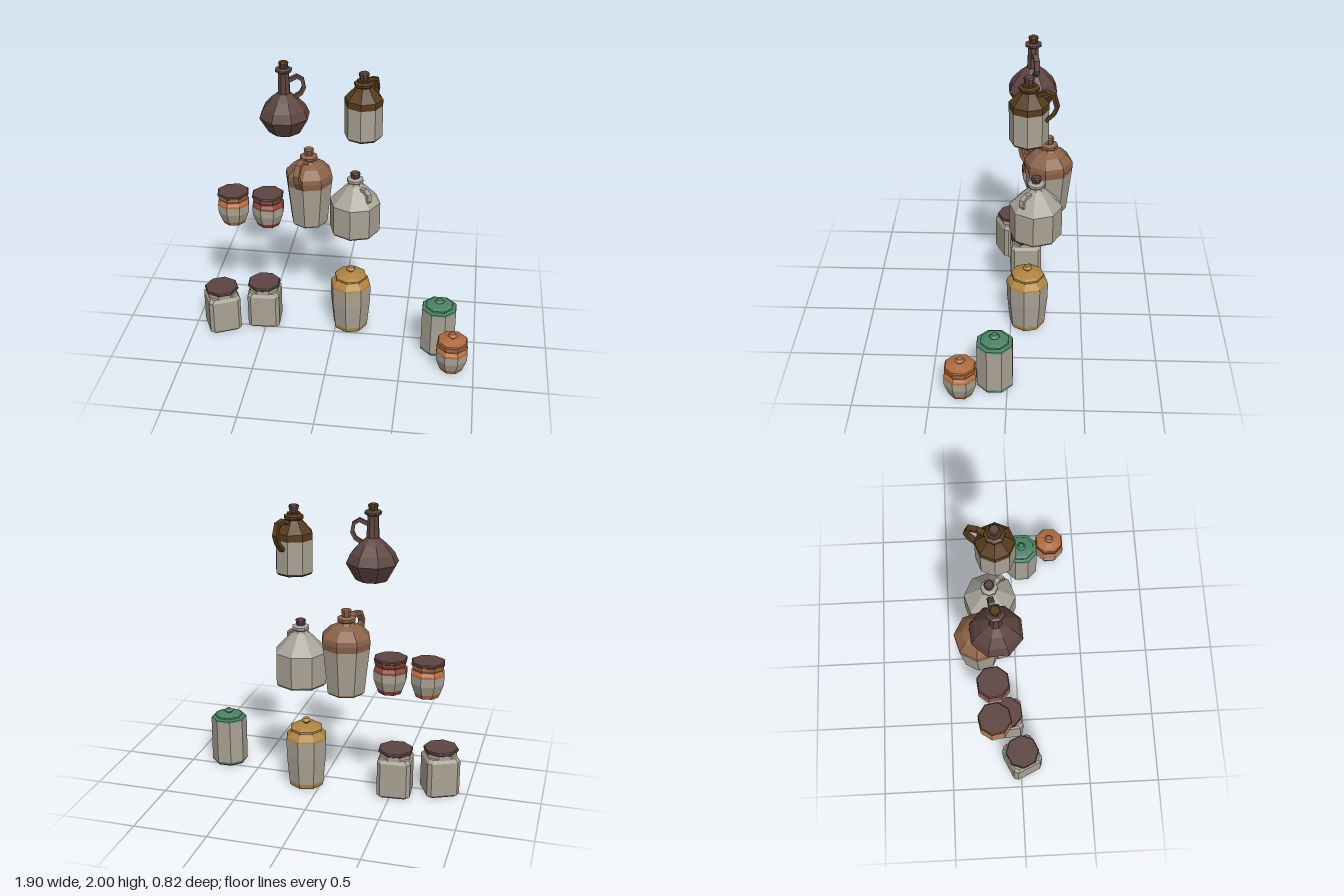
import * as THREE from 'three';

const mat = (name, color) => {
  const m = new THREE.MeshStandardMaterial({ color, flatShading: true });
  m.name = name;
  return m;
};

const stone = mat('stoneware', 0xaaa294);
const pale = mat('paleGlaze', 0xa8a59a);
const plum = mat('plumBrown', 0x5c4440);
const amber = mat('darkAmber', 0x573c1c);
const brown = mat('warmBrown', 0x8a6249);
const terracotta = mat('terracotta', 0xae6c40);
const red = mat('brickRed', 0x86443a);
const ochre = mat('ochre', 0xae8442);
const green = mat('green', 0x4c8266);

const deg = Math.PI / 180;

// Eight-sided turned vessel: each band is [name, material, [radius, y] points from bottom to top]
function vessel(name, x, y, z, turn, bands) {
  const g = new THREE.Group();
  g.name = name;
  g.position.set(x, y, z);
  for (const [part, material, pts] of bands) {
    const geo = new THREE.LatheGeometry(
      pts.map(p => new THREE.Vector2(p[0], p[1])), 8, Math.PI / 8 + turn * deg);
    const mesh = new THREE.Mesh(geo, material);
    mesh.name = part;
    g.add(mesh);
  }
  return g;
}

// Strap handle: a bent strip in the radius/height plane, turned to face (dx, dz)
function handle(group, material, path, dx, dz, thick = 0.024, width = 0.036) {
  const outer = [], inner = [];
  path.forEach((p, i) => {
    const a = path[Math.max(i - 1, 0)], b = path[Math.min(i + 1, path.length - 1)];
    const tx = b[0] - a[0], ty = b[1] - a[1], l = Math.hypot(tx, ty);
    const nx = -ty / l * thick / 2, ny = tx / l * thick / 2;
    outer.push(new THREE.Vector2(p[0] + nx, p[1] + ny));
    inner.unshift(new THREE.Vector2(p[0] - nx, p[1] - ny));
  });
  const geo = new THREE.ExtrudeGeometry(new THREE.Shape([...outer, ...inner]),
    { depth: width, bevelEnabled: false });
  geo.translate(0, 0, -width / 2);
  const mesh = new THREE.Mesh(geo, material);
  mesh.name = 'handle';
  mesh.rotation.y = Math.atan2(-dz, dx);
  group.add(mesh);
}

// Tapered cork, wider at the top
const cork = (material, y0, y1, r) =>
  ['cork', material, [[r * 0.75, y0], [r, y1 - 0.008], [r * 0.8, y1], [0, y1]]];

// Knob for lids
const knob = (y, h) => [[0.017, y], [0.017, y + h * 0.25], [0.034, y + h * 0.6], [0.019, y + h], [0, y + h]];

// Small bulging jar body with a coloured foot and collar
const smallJar = glaze => [
  ['foot', glaze, [[0, 0], [0.078, 0], [0.086, 0.02], [0.09, 0.03]]],
  ['body', stone, [[0.09, 0.03], [0.113, 0.095], [0.115, 0.15]]],
  ['collar', glaze, [[0.115, 0.15], [0.113, 0.165], [0.096, 0.185], [0.108, 0.205], [0.108, 0.225], [0.09, 0.228]]],
];

// Square jar with chamfered corners and an eight-sided lid
function squareJar(name, x, z, turn) {
  const g = vessel(name, x, 0, z, 0, [
    ['neck', stone, [[0.11, 0.27], [0.11, 0.31]]],
    ['lid', plum, [[0, 0.305], [0.112, 0.305], [0.12, 0.311], [0.12, 0.325], [0.114, 0.331], [0, 0.331]]],
  ]);
  const rings = [[0.1, 0], [0.113, 0.014], [0.113, 0.255], [0.098, 0.28]];
  const pos = [], idx = [];
  for (const [a, y] of rings) {
    const c = a - 0.024;
    for (const [px, pz] of [[c, a], [a, c], [a, -c], [c, -a], [-c, -a], [-a, -c], [-a, c], [-c, a]])
      pos.push(px, y, pz);
  }
  for (let r = 0; r < rings.length - 1; r++)
    for (let i = 0; i < 8; i++) {
      const a = r * 8 + i, b = r * 8 + (i + 1) % 8;
      idx.push(a, b, b + 8, a, b + 8, a + 8);
    }
  const top = (rings.length - 1) * 8;
  for (let i = 1; i < 7; i++) idx.push(0, i + 1, i, top, top + i, top + i + 1);
  const geo = new THREE.BufferGeometry();
  geo.setAttribute('position', new THREE.Float32BufferAttribute(pos, 3));
  geo.setIndex(idx);
  geo.computeVertexNormals();
  const body = new THREE.Mesh(geo, stone);
  body.name = 'body';
  g.add(body);
  g.rotation.y = turn * deg;
  return g;
}

export function createModel() {
  const model = new THREE.Group();
  model.name = 'stonewareCollection';

  // Top row: long-necked flask
  const flask = vessel('longNeckFlask', -0.347, 1.51, -0.133, 3, [
    ['body', plum, [[0, 0], [0.1, 0], [0.112, 0.01], [0.172, 0.115], [0.145, 0.175], [0.09, 0.235],
      [0.042, 0.275], [0.036, 0.415], [0.055, 0.425], [0.057, 0.44], [0.04, 0.45], [0, 0.45]]],
    cork(amber, 0.44, 0.49, 0.034),
  ]);
  handle(flask, plum, [[0.03, 0.36], [0.085, 0.387], [0.12, 0.365], [0.13, 0.31], [0.11, 0.27], [0.07, 0.245]], 0.96, -0.2);

  // Top row: two-tone jug
  const twoTone = vessel('twoToneJug', 0.177, 1.51, -0.116, 20, [
    ['base', amber, [[0, 0], [0.114, 0], [0.126, 0.014]]],
    ['body', stone, [[0.126, 0.014], [0.126, 0.23]]],
    ['shoulder', amber, [[0.126, 0.23], [0.126, 0.275], [0.066, 0.34], [0.055, 0.355], [0.066, 0.365],
      [0.066, 0.38], [0.045, 0.39], [0.045, 0.4], [0, 0.4]]],
    cork(plum, 0.4, 0.45, 0.036),
  ]);
  handle(twoTone, amber, [[0.055, 0.335], [0.11, 0.365], [0.165, 0.352], [0.187, 0.28], [0.165, 0.225], [0.12, 0.175]], 0.36, -0.93);

  // Middle row: tall jug
  const tall = vessel('tallJug', -0.208, 0.77, -0.247, 16, [
    ['base', brown, [[0, 0], [0.12, 0], [0.129, 0.014]]],
    ['body', stone, [[0.129, 0.014], [0.162, 0.315]]],
    ['shoulder', brown, [[0.162, 0.315], [0.167, 0.36], [0.162, 0.39], [0.11, 0.445], [0.06, 0.468], [0.05, 0.48],
      [0.062, 0.49], [0.062, 0.508], [0.045, 0.518], [0, 0.518]]],
    cork(brown, 0.51, 0.565, 0.036),
  ]);
  handle(tall, brown, [[0.045, 0.475], [0.1, 0.507], [0.165, 0.5], [0.198, 0.44], [0.185, 0.39], [0.15, 0.33]], -0.28, 0.96, 0.026, 0.04);

  // Middle row: broad pale jug
  const broad = vessel('broadJug', 0.121, 0.77, -0.167, 18, [
    ['base', pale, [[0, 0], [0.165, 0], [0.176, 0.014]]],
    ['body', stone, [[0.176, 0.014], [0.176, 0.228]]],
    ['shoulder', pale, [[0.176, 0.228], [0.055, 0.355], [0.047, 0.37], [0.058, 0.38], [0.058, 0.397],
      [0.044, 0.405], [0, 0.405]]],
    cork(plum, 0.4, 0.445, 0.036),
  ]);
  handle(broad, pale, [[0.05, 0.335], [0.1, 0.34], [0.134, 0.32], [0.138, 0.285], [0.12, 0.25]], 0.76, 0.65, 0.02, 0.032);

  // Middle row: two small lidded jars
  const smallLid = ['lid', plum, [[0, 0.218], [0.106, 0.218], [0.114, 0.224], [0.114, 0.236], [0.107, 0.241], [0, 0.241]]];
  const jarA = vessel('smallOrangeJar', -0.732, 0.77, -0.17, 10, [...smallJar(terracotta), smallLid]);
  const jarB = vessel('smallRedJar', -0.487, 0.77, -0.17, 6, [...smallJar(red), smallLid]);

  // Bottom row: ochre crock
  const crock = vessel('ochreCrock', 0.102, 0, -0.115, 15, [
    ['base', ochre, [[0, 0], [0.116, 0], [0.123, 0.012], [0.126, 0.035]]],
    ['body', stone, [[0.126, 0.035], [0.144, 0.23], [0.146, 0.35]]],
    ['shoulder', ochre, [[0.146, 0.35], [0.142, 0.365], [0.105, 0.4], [0.1, 0.41]]],
    ['lid', ochre, [[0.1, 0.405], [0.114, 0.41], [0.114, 0.425], [0.095, 0.437], [0.04, 0.452], [0, 0.455]]],
    ['knob', ochre, knob(0.445, 0.045)],
  ]);

  // Bottom row: green-lidded canister
  const canister = vessel('greenCanister', 0.743, 0, 0.083, 0, [
    ['base', green, [[0, 0], [0.115, 0], [0.126, 0.012], [0.126, 0.026]]],
    ['body', stone, [[0.126, 0.026], [0.126, 0.335]]],
    ['shoulder', green, [[0.126, 0.335], [0.122, 0.345], [0.092, 0.352]]],
    ['lid', green, [[0.09, 0.348], [0.098, 0.352], [0.096, 0.362], [0.075, 0.37], [0.04, 0.374], [0, 0.375]]],
    ['knob', green, knob(0.365, 0.037)],
  ]);

  // Bottom row: small orange jar with knobbed lid
  const orange = vessel('knobbedOrangeJar', 0.847, 0, 0.303, 0, [
    ...smallJar(terracotta),
    ['lid', terracotta, [[0.09, 0.222], [0.104, 0.226], [0.1, 0.236], [0.075, 0.24], [0.036, 0.252], [0, 0.253]]],
    ['knob', terracotta, knob(0.245, 0.04)],
  ]);

  model.add(flask, twoTone, tall, broad, jarA, jarB, crock, canister, orange,
    squareJar('squareJarLeft', -0.81, 0.01, 25), squareJar('squareJarRight', -0.519, -0.09, 4));
  return model;
}
